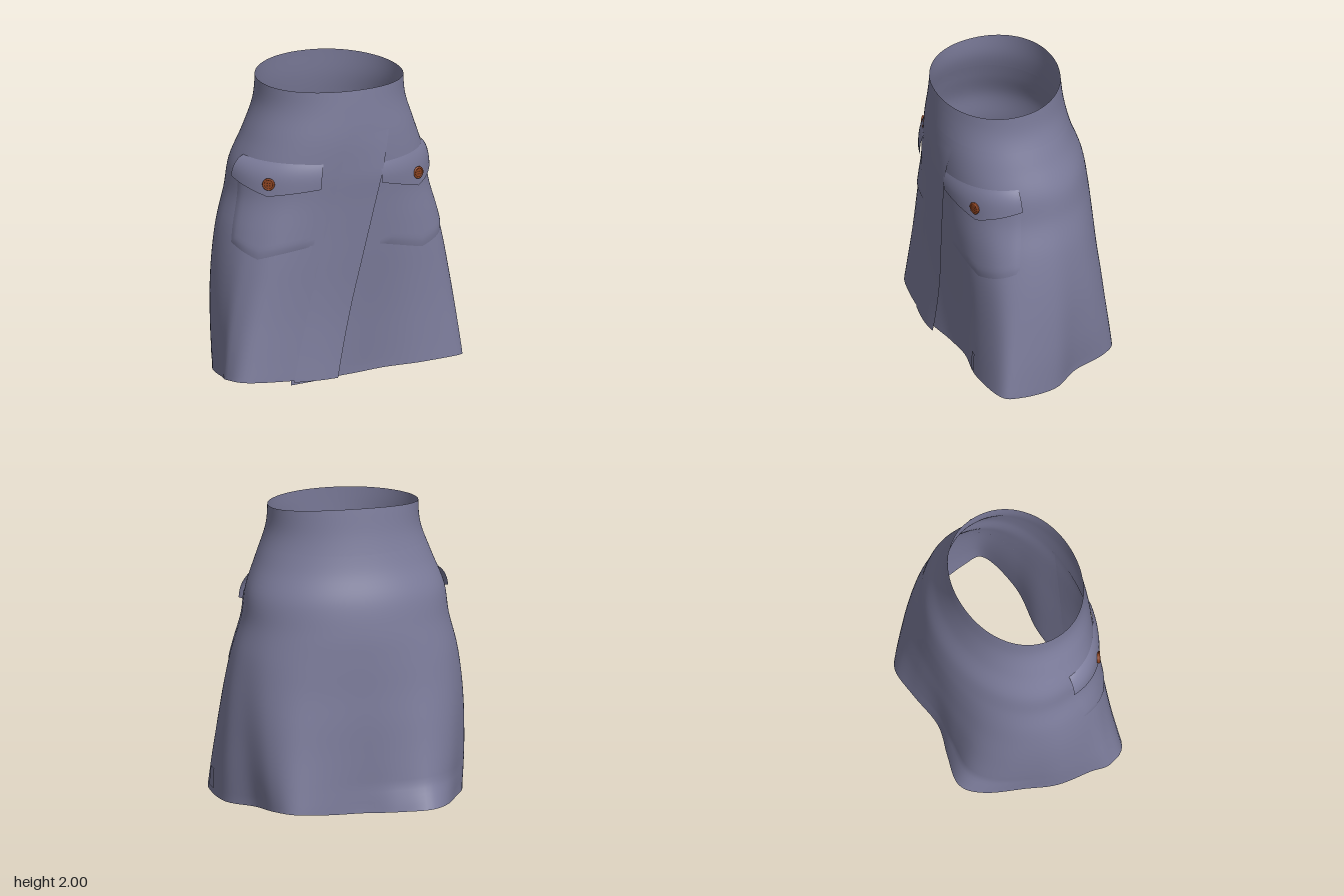
import * as THREE from 'three';

const { lerp, clamp, degToRad } = THREE.MathUtils;
const V = (x, y, z) => new THREE.Vector3(x, y, z);

// Half width, front z and back z at every 0.2 of height, from the ground up
const profile = new THREE.CatmullRomCurve3([
  [0.825, 0.5, -0.49], [0.82, 0.51, -0.48], [0.8, 0.515, -0.47], [0.78, 0.525, -0.465],
  [0.755, 0.535, -0.455], [0.72, 0.54, -0.45], [0.67, 0.545, -0.44], [0.645, 0.555, -0.41],
  [0.57, 0.56, -0.34], [0.5, 0.55, -0.295], [0.485, 0.535, -0.27],
].map((p) => V(...p)), false, 'catmullrom');

// Folded hem outline (x, z), every 18 degrees from the front centre towards +x
const hem = new THREE.CatmullRomCurve3([
  [0, 0.45], [0.22, 0.43], [0.5, 0.465], [0.79, 0.41], [0.83, 0.28],
  [0.79, 0.03], [0.65, -0.16], [0.57, -0.38], [0.46, -0.49], [0.25, -0.48],
  [0, -0.44], [-0.2, -0.48], [-0.41, -0.52], [-0.55, -0.42], [-0.67, -0.2],
  [-0.76, -0.02], [-0.8, 0.2], [-0.83, 0.34], [-0.73, 0.48], [-0.3, 0.51],
].map(([x, z]) => V(x, 0, z)), true, 'catmullrom');

const hemY = (a) => 0.036 - 0.014 * Math.cos(4 * degToRad(a));
const rimY = (a) => {
  const r = degToRad(a);
  return 1.965 - 0.035 * Math.cos(r) - 0.02 * Math.sin(r) ** 2;
};
const SEAM = 1.7;

// Point of the cloth at angle a (degrees) and height y
function base(a, y) {
  const r = degToRad(a);
  const front = Math.cos(r) > 0;
  const p = profile.getPoint(clamp(y / 2, 0, 1));
  const e = lerp(front ? 0.88 : 0.98, 0.96, clamp((y - 1.35) / 0.5, 0, 1));
  const pow = (v) => Math.sign(v) * Math.abs(v) ** e;
  const point = V(
    p.x * pow(Math.sin(r)) - 0.008, y,
    (p.y + p.z) / 2 + ((p.y - p.z) / 2) * pow(Math.cos(r)));
  // The folds deepen towards the hem, later at the back than at the front
  const late = 1.55 - 0.25 * Math.cos(r);
  const fold = clamp((1.35 - y) / 1.3, 0, 1) ** late;
  const h = hem.getPoint((((a % 360) + 360) % 360) / 360);
  point.x = lerp(point.x, h.x, fold);
  point.z = lerp(point.z, h.z, fold);
  // The back corner kicks out below the hem band
  const kick = 0.06 * clamp(1 - y / 0.2, 0, 1) * Math.max(0, Math.cos(r - degToRad(216))) ** 6;
  point.x -= kick * 0.4;
  point.z -= kick;
  return point;
}

function normalAt(a, y) {
  const across = base(a + 1, y).sub(base(a - 1, y));
  const up = base(a, y + 0.02).sub(base(a, y - 0.02));
  return across.cross(up).normalize();
}

const cloth = (a, y, off = 0) => base(a, y).addScaledVector(normalAt(a, y), off);

// Angle at which the front of the cloth reaches a given x
function angleAtX(x, y) {
  let lo = -50, hi = 50;
  for (let i = 0; i < 24; i++) {
    const mid = (lo + hi) / 2;
    if (base(mid, y).x < x) lo = mid; else hi = mid;
  }
  return (lo + hi) / 2;
}

// Grid surface from f(s, t); closed joins the last column to the first
function patch(f, nu, nv, closed = false) {
  const cols = closed ? nu : nu + 1;
  const pos = [], index = [];
  for (let j = 0; j <= nv; j++) {
    for (let i = 0; i < cols; i++) pos.push(...f(i / nu, j / nv).toArray());
  }
  for (let j = 0; j < nv; j++) {
    for (let i = 0; i < nu; i++) {
      const a = j * cols + i, b = j * cols + ((i + 1) % cols);
      index.push(a, b, b + cols, a, b + cols, a + cols);
    }
  }
  const g = new THREE.BufferGeometry();
  g.setAttribute('position', new THREE.Float32BufferAttribute(pos, 3));
  g.setIndex(index);
  g.computeVertexNormals();
  return g;
}

export function createModel() {
  const fabric = new THREE.MeshStandardMaterial({ color: 0x7d7d9c, side: THREE.DoubleSide });
  fabric.name = 'slate fabric';
  const brown = new THREE.MeshStandardMaterial({ color: 0x8e4421 });
  brown.name = 'button brown';
  const dark = new THREE.MeshStandardMaterial({ color: 0x4a2210 });
  dark.name = 'button dark brown';

  const model = new THREE.Group();
  model.name = 'skirt';
  const add = (name, geometry, material = fabric, parent = model) => {
    const mesh = new THREE.Mesh(geometry, material);
    mesh.name = name;
    parent.add(mesh);
    return mesh;
  };

  // Skirt body and waistband, meeting at a seam
  add('body', patch((s, t) => cloth(s * 360, lerp(hemY(s * 360), SEAM, t)), 120, 50, true));
  add('waistband', patch((s, t) => cloth(s * 360, lerp(SEAM, rimY(s * 360), t)), 120, 10, true));

  // Slanted wrap-over front, hanging clear of the body at the hem, and the layer beneath it
  const edgeX = (y) => -0.14 + 0.228 * y;
  add('wrapPanel', patch((s, t) => {
    const y = lerp(0.025, 1.64, t);
    const a = angleAtX(edgeX(y) - 0.3 * (1 - s), y);
    return cloth(a, y, s * (0.013 * Math.min(1, (1 - t) * 6) + 0.025 * (1 - t) ** 2));
  }, 12, 40));
  add('underlap', patch((s, t) => {
    const y = lerp(lerp(0.005, 0.028, s), 1.4, t);
    return cloth(angleAtX(lerp(-0.45, edgeX(y), s), y), y, -0.015 * (1 - s));
  }, 12, 30));

  // Pockets: angles run from inner to outer edge; tip is the flap point
  const pockets = [
    { name: 'left', inner: 13, outer: 77, low: 70, tip: 0.45, tipY: 1.22, sideY: [1.3, 1.33],
      top: [1.43, 1.47], bottom: [0.88, 0.81, 0.91], button: [42, 1.31], yaw: 18, lift: 0.022 },
    { name: 'right', inner: -19, outer: -84, low: -74, tip: 0.5, tipY: 1.25, sideY: [1.3, 1.34],
      top: [1.46, 1.48], bottom: [0.92, 0.84, 0.92], button: [-52, 1.335], yaw: -32, lift: 0.034 },
  ];
  const tent = (s, tip, a, b, c) => (s < tip ? lerp(a, b, s / tip) : lerp(b, c, (s - tip) / (1 - tip)));
  for (const p of pockets) {
    const flip = p.inner < 0;
    const side = (f) => (s, t) => f(flip ? 1 - s : s, t);
    add(p.name + 'Pocket', patch(side((s, t) => {
      const y = lerp(tent(s, p.tip, ...p.bottom), 1.38, t);
      const a = lerp(p.inner, lerp(p.low, p.outer, t), s);
      return cloth(a, y, 0.009 * Math.min(1, 14 * Math.min(s, 1 - s, t, 1 - t)));
    }), 20, 20));
    add(p.name + 'PocketFlap', patch(side((s, t) => {
      const y = lerp(tent(s, p.tip, p.sideY[0], p.tipY, p.sideY[1]), lerp(...p.top, s), t);
      const spread = 1 + (s - 0.5) * 0.6;
      return cloth(lerp(p.inner, p.outer, s), y, 0.002 + p.lift * spread * (1 - t ** 3));
    }), 20, 10));

    // Round button with raised rim and four holes
    const button = new THREE.Group();
    button.name = p.name + 'Button';
    button.position.copy(cloth(...p.button, p.lift + 0.004));
    button.rotation.y = degToRad(p.yaw);
    const disc = new THREE.CylinderGeometry(0.037, 0.037, 0.016, 24);
    add('disc', disc.rotateX(Math.PI / 2), brown, button);
    add('rim', new THREE.TorusGeometry(0.034, 0.007, 8, 24), brown, button).position.z = 0.005;
    for (const hx of [-0.008, 0.008]) {
      for (const hy of [-0.008, 0.008]) {
        add('hole', new THREE.CircleGeometry(0.005, 10), dark, button).position.set(hx, hy, 0.009);
      }
    }
    model.add(button);
  }

  // Small tabs sewn onto the hem
  for (const [a, w] of [[33, 1.5], [74, 4]]) {
    add('hemTab', patch((s, t) =>
      cloth(a + (s - 0.5) * 2 * w, lerp(0.07, 0.2, t), 0.006), 4, 4));
  }
  return model;
}
